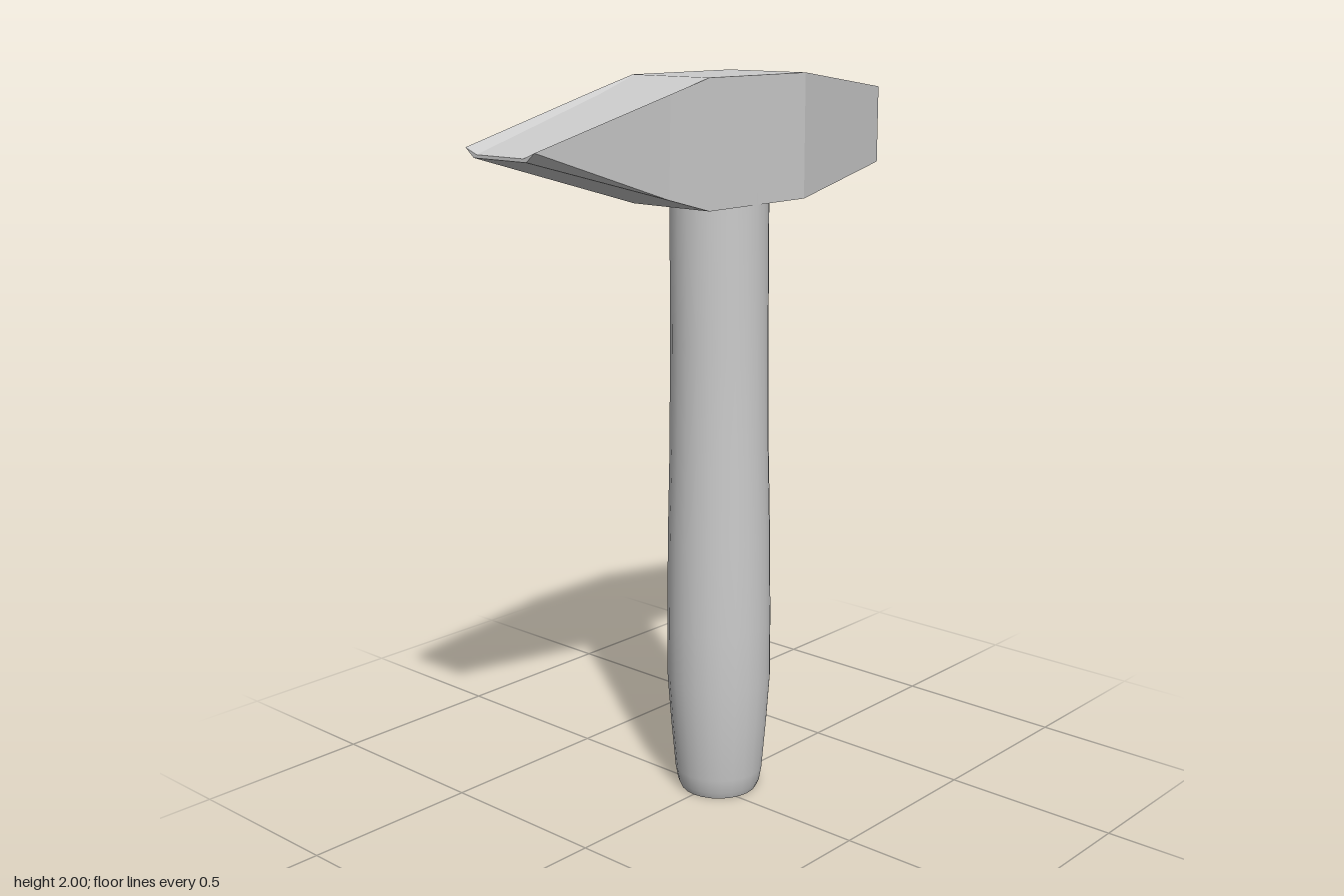
import * as THREE from 'three';
import { toCreasedNormals } from 'three/addons/utils/BufferGeometryUtils.js';

const material = new THREE.MeshStandardMaterial({ color: 0xcccccc });

// Joins six-cornered sections, ordered back to front, into a closed faceted solid.
function loft(sections) {
  const positions = [];
  const tri = (a, b, c) => positions.push(...a, ...b, ...c);
  for (let i = 0; i < sections.length - 1; i++) {
    const s = sections[i], t = sections[i + 1];
    for (let j = 0; j < 6; j++) {
      const k = (j + 1) % 6;
      tri(s[j], s[k], t[k]);
      tri(s[j], t[k], t[j]);
    }
  }
  const caps = [[0, 1, 3], [0, 3, 4], [1, 2, 3], [0, 4, 5]];
  const back = sections[0], front = sections[sections.length - 1];
  for (const [a, b, c] of caps) {
    tri(back[a], back[c], back[b]);
    tri(front[a], front[b], front[c]);
  }
  const geometry = new THREE.BufferGeometry();
  geometry.setAttribute('position', new THREE.Float32BufferAttribute(positions, 3));
  geometry.computeVertexNormals();
  return geometry;
}

// Bottom pair, upper side corners and the inner pair bounding the front bevel.
function section(z, bottomHalf, bottomY, sideHalf, sideY, innerHalf, innerY) {
  return [
    [-bottomHalf, bottomY, z], [bottomHalf, bottomY, z],
    [sideHalf, sideY, z], [innerHalf, innerY, z],
    [-innerHalf, innerY, z], [-sideHalf, sideY, z],
  ];
}

export function createModel() {
  const group = new THREE.Group();
  group.name = 'hammer';

  // Head: upright edge at the back, level chisel edge at the front
  const head = new THREE.Mesh(loft([
    section(-0.73, 0.003, 1.725, 0.003, 1.94, 0.002, 1.94),
    section(-0.23, 0.132, 1.67, 0.132, 2, 0.125, 2),
    section(0.15, 0.132, 1.67, 0.132, 2, 0.125, 2),
    section(0.29, 0.124, 1.709, 0.13, 1.965, 0.112, 1.957),
    section(0.73, 0.09, 1.83, 0.118, 1.853, 0.08, 1.838),
  ]), material);
  head.name = 'head';
  group.add(head);

  // Handle: round shaft swelling toward the grip, with a rounded butt
  const profile = [
    [0, 0], [0.108, 0], [0.117, 0.02], [0.124, 0.06], [0.136, 0.2],
    [0.145, 0.33], [0.145, 0.5], [0.142, 0.75], [0.136, 1], [0.133, 1.3],
    [0.132, 1.72], [0, 1.72],
  ].map(([r, y]) => new THREE.Vector2(r, y));
  const handle = new THREE.Mesh(
    toCreasedNormals(new THREE.LatheGeometry(profile, 24), 0.7), material);
  handle.name = 'handle';
  handle.position.z = -0.038;
  group.add(handle);

  return group;
}
